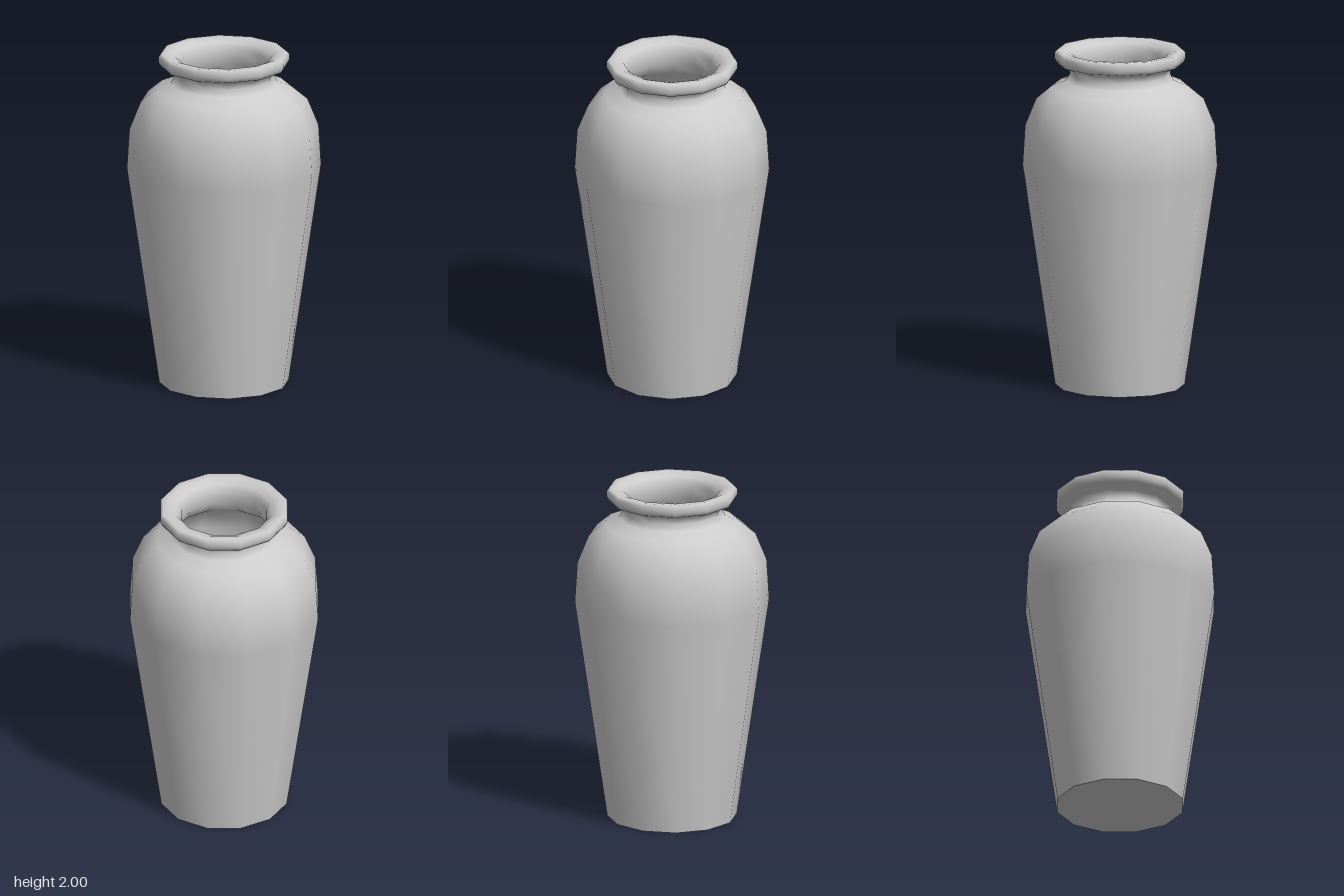
import * as THREE from 'three';

const SIDES = 12;

export function createModel() {
  const vase = new THREE.Group();
  vase.name = 'vase';
  const material = new THREE.MeshStandardMaterial({ color: 0xcccccc });

  // Wall profile [radius, height]: up the outside, over the lip, down the inside
  const profile = [
    [0.38, 0], [0.57, 1.31], [0.555, 1.55], [0.49, 1.71], [0.4, 1.785],
    [0.315, 1.82], [0.293, 1.86], [0.305, 1.9],                           // shoulder, neck
    [0.37, 1.925], [0.384, 1.95], [0.384, 1.985], [0.37, 2], [0.33, 1.998], // lip
    [0.285, 1.98], [0.258, 1.94], [0.26, 1.86], [0.3, 1.79],              // throat
    [0.45, 1.68], [0.51, 1.54], [0.525, 1.31], [0.34, 0.05], [0, 0.04],   // hollow and floor
  ].map(([r, y]) => new THREE.Vector2(r, y));

  const body = new THREE.Mesh(new THREE.LatheGeometry(profile, SIDES), material);
  body.name = 'body';

  // Flat underside with a sharp edge
  const base = new THREE.Mesh(new THREE.CircleGeometry(0.38, SIDES).rotateX(Math.PI / 2), material);
  base.name = 'base';

  vase.add(body, base);
  return vase;
}
